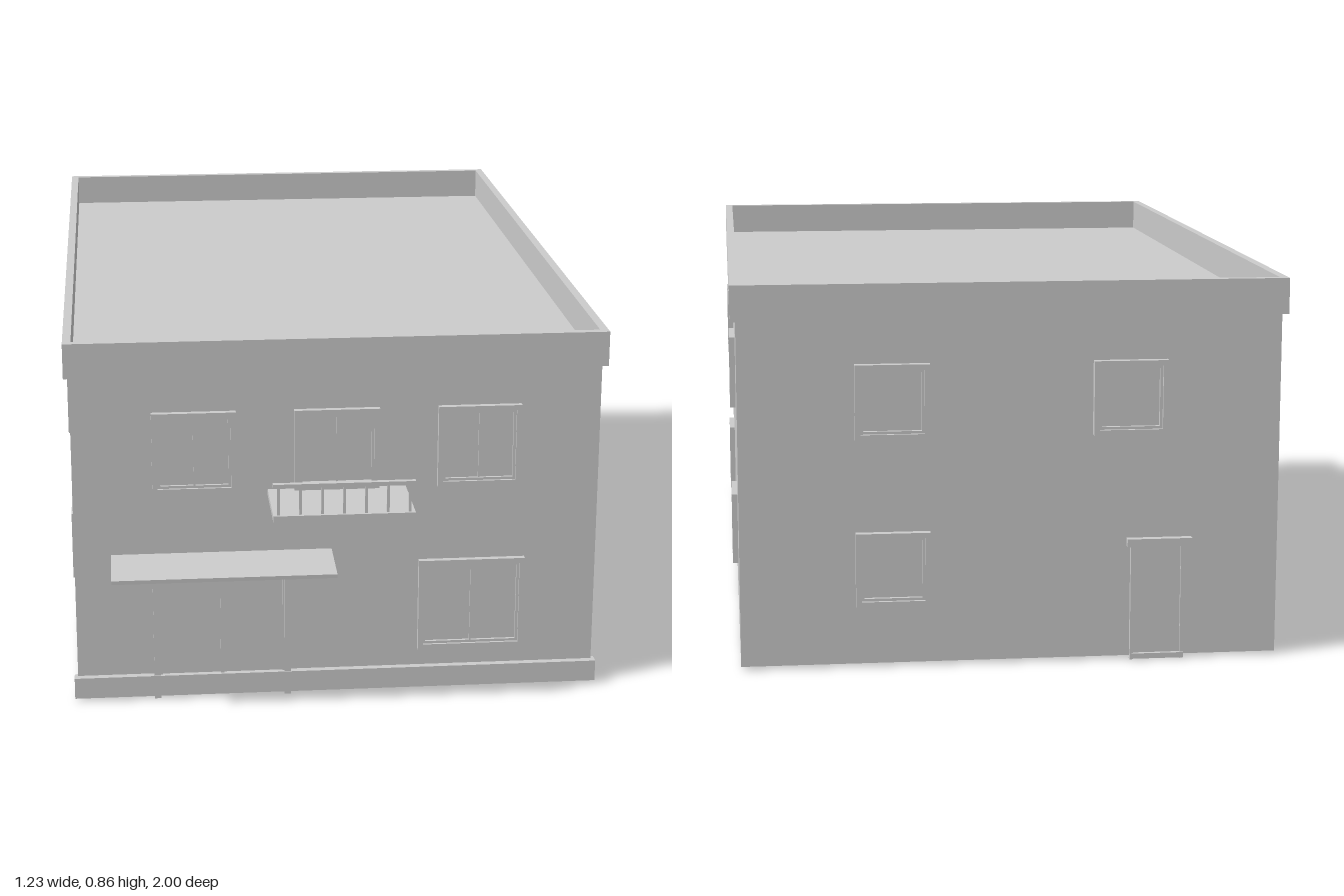
import * as THREE from 'three';

const mat = new THREE.MeshStandardMaterial({ color: 0xcccccc });
const FRONT = 0.82, BACK = -0.98, SIDE = 0.6;

// Box given by its minimum and maximum corners
function box(parent, name, x0, x1, y0, y1, z0, z1) {
  const m = new THREE.Mesh(new THREE.BoxGeometry(x1 - x0, y1 - y0, z1 - z0), mat);
  m.position.set((x0 + x1) / 2, (y0 + y1) / 2, (z0 + z1) / 2);
  m.name = name;
  parent.add(m);
  return m;
}

// Rectangular ring in the xy plane, extruded towards +z
function ring(parent, name, w, h, t, depth) {
  const rect = (P, a, b) => new P([[-a, -b], [a, -b], [a, b], [-a, b]].map(p => new THREE.Vector2(...p)));
  const s = rect(THREE.Shape, w / 2, h / 2);
  s.holes.push(rect(THREE.Path, w / 2 - t, h / 2 - t));
  const m = new THREE.Mesh(new THREE.ExtrudeGeometry(s, { depth, bevelEnabled: false }), mat);
  m.name = name;
  parent.add(m);
  return m;
}

// Framed window: casing, inner sash, pane and an optional mullion
function windowUnit(name, w, h, depth, mullion) {
  const g = new THREE.Group();
  g.name = name;
  const t = 0.012;
  ring(g, 'windowCasing', w, h, t, depth);
  ring(g, 'windowSash', w - 2 * t, h - 2 * t, 0.006, depth * 0.6);
  box(g, 'windowPane', -w / 2 + t, w / 2 - t, -h / 2 + t, h / 2 - t, -0.005, 0.002);
  if (mullion) box(g, 'windowMullion', -mullion / 2, mullion / 2, -h / 2 + t, h / 2 - t, 0, depth * 0.5);
  return g;
}

export function createModel() {
  const house = new THREE.Group();
  house.name = 'house';

  // Main volume, plinth and parapet
  box(house, 'walls', -SIDE, SIDE, 0.007, 0.777, BACK, FRONT);
  box(house, 'frontPlinth', -0.608, 0.608, 0.007, 0.057, FRONT - 0.01, 0.836);
  const parapet = ring(house, 'parapet', 1.224, 1.827, 0.019, 0.08);
  parapet.rotation.x = -Math.PI / 2;
  parapet.position.set(0, 0.777, -0.08);
  box(house, 'roofDeck', -0.595, 0.595, 0.772, 0.78, -0.975, 0.815);

  // Front windows: x, y, width, height, mullion
  for (const [x, y, w, h, m] of [
    [-0.325, 0.595, 0.19, 0.19, 0.004],
    [-0.002, 0.595, 0.194, 0.19, 0.004],
    [0.323, 0.595, 0.19, 0.19, 0.004],
    [0.311, 0.21, 0.246, 0.22, 0.004],
  ]) {
    const win = windowUnit('frontWindow', w, h, 0.014, m);
    win.position.set(x, y, FRONT);
    house.add(win);
  }

  // Side windows, mirrored on both flanks
  for (const s of [-1, 1]) for (const z of [-0.495, 0.335]) for (const y of [0.222, 0.597]) {
    const win = windowUnit('sideWindow', 0.15, 0.166, 0.013, 0);
    win.rotation.y = s * Math.PI / 2;
    win.position.set(s * SIDE, y, z);
    house.add(win);
  }

  // Back windows
  for (const [x, y] of [[0.263, 0.597], [-0.263, 0.597], [0.263, 0.222]]) {
    const win = windowUnit('backWindow', 0.165, 0.166, 0.018, 0);
    win.rotation.y = Math.PI;
    win.position.set(x, y, BACK);
    house.add(win);
  }

  // Back door
  const backDoor = new THREE.Group();
  backDoor.name = 'backDoor';
  house.add(backDoor);
  box(backDoor, 'backDoorLeaf', -0.38, -0.275, 0.01, 0.262, BACK - 0.005, BACK);
  for (const x of [-0.388, -0.275]) box(backDoor, 'backDoorJamb', x, x + 0.008, 0, 0.262, BACK - 0.011, BACK);
  box(backDoor, 'backDoorLintel', -0.404, -0.258, 0.26, 0.278, BACK - 0.018, BACK);
  box(backDoor, 'backDoorThreshold', -0.388, -0.267, 0.002, 0.014, BACK - 0.014, BACK);

  // Front double door
  const door = new THREE.Group();
  door.name = 'frontDoor';
  house.add(door);
  box(door, 'doorLeaves', -0.41, -0.123, 0.05, 0.302, FRONT, FRONT + 0.003);
  for (const x of [-0.424, -0.123]) box(door, 'doorJamb', x, x + 0.015, 0, 0.315, FRONT, 0.834);
  box(door, 'doorHead', -0.409, -0.123, 0.3, 0.315, FRONT, 0.834);
  for (const x of [-0.409, -0.127]) box(door, 'doorStop', x, x + 0.004, 0.05, 0.3, FRONT, 0.828);
  box(door, 'doorStopHead', -0.405, -0.127, 0.296, 0.3, FRONT, 0.828);
  box(door, 'doorMeetingStile', -0.27, -0.262, 0.05, 0.292, FRONT, 0.829);

  // Sloping canopy with two hanging rods
  const canopy = box(house, 'canopy', -0.517, -0.013, 0.34, 0.349, 0.817, 0.96);
  canopy.rotation.x = 0.06;
  for (const x of [-0.478, -0.054]) box(house, 'canopyRod', x - 0.002, x + 0.002, 0.257, 0.342, 0.9, 0.904);

  // Balcony: slab, hand rail and balusters
  const balcony = new THREE.Group();
  balcony.name = 'balcony';
  house.add(balcony);
  box(balcony, 'balconySlab', -0.159, 0.156, 0.486, 0.501, FRONT, 1);
  box(balcony, 'balconyRail', -0.159, 0.156, 0.564, 0.573, 0.984, 0.996);
  for (let i = 0; i < 7; i++) {
    const x = -0.147 + i * 0.0485;
    box(balcony, 'baluster', x - 0.003, x + 0.003, 0.5, 0.566, 0.987, 0.993);
  }

  return house;
}
